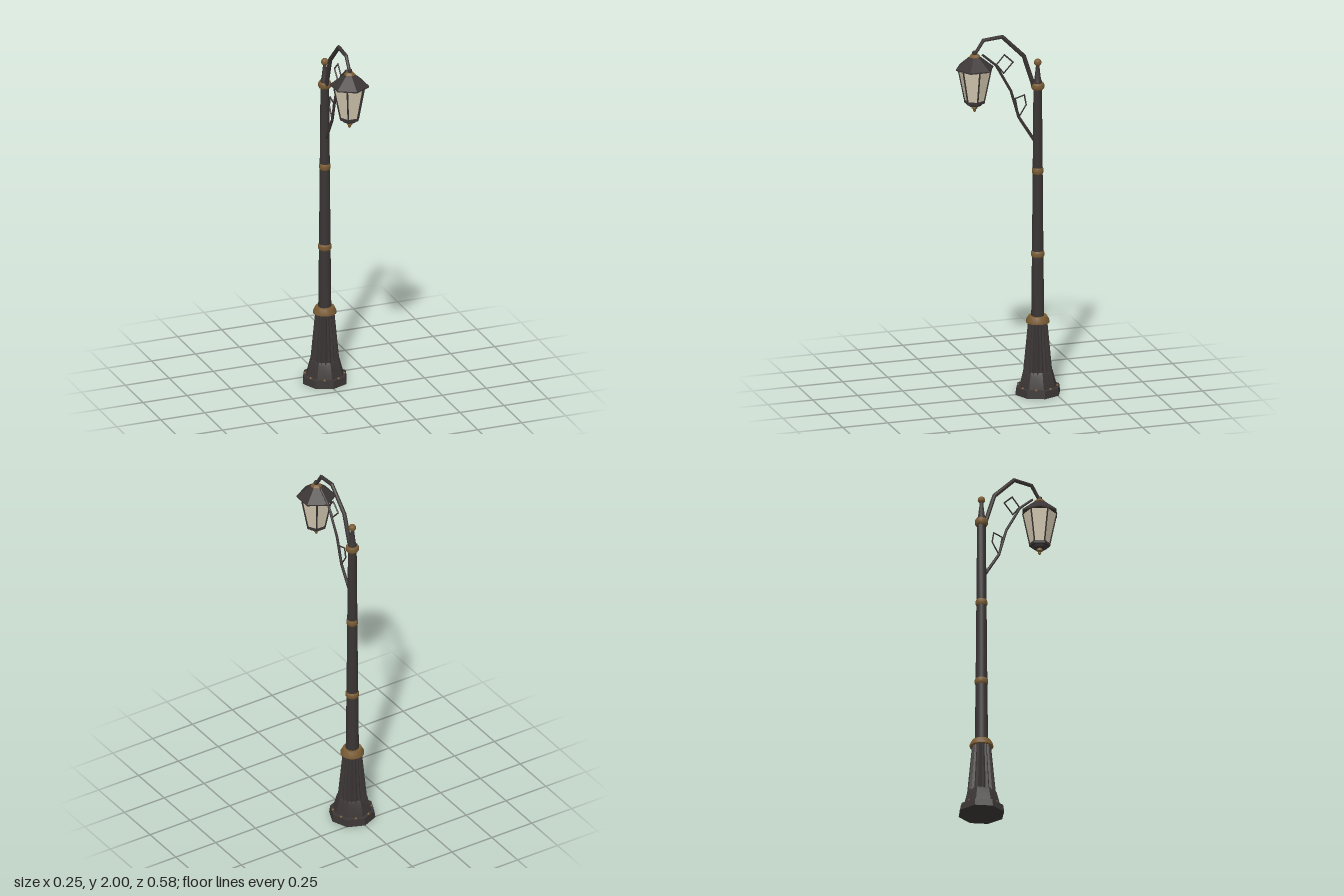
import * as THREE from 'three';
import { toCreasedNormals } from 'three/addons/utils/BufferGeometryUtils.js';

const POST_Z = -0.167, LAMP_Z = 0.184;

export function createModel() {
  const iron = new THREE.MeshStandardMaterial({ color: 0x3b3535 });
  iron.name = 'dark iron';
  const brass = new THREE.MeshStandardMaterial({ color: 0x7a5c34 });
  brass.name = 'aged brass';
  const glass = new THREE.MeshStandardMaterial({ color: 0xd6ccb4 });
  glass.name = 'cream glass';

  const model = new THREE.Group();
  model.name = 'streetLamp';
  const post = new THREE.Group();
  post.name = 'post';
  post.position.z = POST_Z;
  const lantern = new THREE.Group();
  lantern.name = 'lantern';
  lantern.position.z = LAMP_Z;
  const bracket = new THREE.Group();
  bracket.name = 'bracket';
  model.add(post, lantern, bracket);

  const add = (parent, name, geo, mat) => {
    const mesh = new THREE.Mesh(toCreasedNormals(geo, 0.6), mat);
    mesh.name = name;
    parent.add(mesh);
    return mesh;
  };

  // Turned part from [radius, height] pairs, bottom to top
  const turned = (parent, name, profile, sides, mat, turn = 0) =>
    add(parent, name, new THREE.LatheGeometry(
      profile.map(([r, y]) => new THREE.Vector2(r, y)), sides).rotateY(turn), mat);

  // Tapered rod following [z, y] points in the side plane, with mitred corners
  const rod = (name, path, r0, r1, sides = 8) => {
    const pts = path.map(([z, y]) => new THREE.Vector3(0, y, z));
    const n = pts.length - 1;
    const geo = new THREE.CylinderGeometry(1, 1, 1, sides, n);
    const p = geo.attributes.position;
    const dir = i => pts[i + 1].clone().sub(pts[i]).normalize();
    for (let k = 0; k < p.count; k++) {
      const i = Math.round((p.getY(k) + 0.5) * n);
      const a = dir(Math.max(i - 1, 0)), b = dir(Math.min(i, n - 1));
      const t = a.clone().add(b).normalize();
      const r = THREE.MathUtils.lerp(r0, r1, i / n);
      const s = p.getZ(k) * r / Math.max(t.dot(a), 0.5);
      p.setXYZ(k, p.getX(k) * r, pts[i].y - t.z * s, pts[i].z + t.y * s);
    }
    return add(bracket, name, geo, iron);
  };

  // Straight bar between two points
  const bar = (parent, name, a, b, r, mat) => {
    const d = b.clone().sub(a);
    const mesh = add(parent, name, new THREE.CylinderGeometry(r, r, d.length(), 6), mat);
    mesh.position.copy(a).addScaledVector(d, 0.5);
    mesh.quaternion.setFromUnitVectors(new THREE.Vector3(0, 1, 0), d.normalize());
  };

  // Octagonal foot with brass studs on its ledge
  turned(post, 'foot', [[0, 0], [0.125, 0], [0.119, 0.04], [0.103, 0.043],
    [0.084, 0.115], [0.076, 0.13], [0, 0.13]], 8, iron);
  for (let i = 0; i < 8; i++) {
    const a = (i + 0.5) * Math.PI / 4;
    add(post, 'stud', new THREE.SphereGeometry(0.007, 8, 6), brass)
      .position.set(0.104 * Math.sin(a), 0.042, 0.104 * Math.cos(a));
  }

  // Fluted pedestal: every other edge is drawn inwards
  const flutes = 20;
  const fluted = new THREE.CylinderGeometry(0.051, 0.077, 0.275, flutes * 2, 1);
  const fp = fluted.attributes.position;
  for (let k = 0; k < fp.count; k++) {
    const edge = Math.round(Math.atan2(fp.getX(k), fp.getZ(k)) / Math.PI * flutes);
    const s = edge % 2 ? 0.88 : 1;
    fp.setXYZ(k, fp.getX(k) * s, fp.getY(k), fp.getZ(k) * s);
  }
  add(post, 'flutedPedestal', fluted, iron).position.y = 0.255;

  // Collar, shaft and rings
  turned(post, 'collar', [[0, 0.392], [0.063, 0.392], [0.063, 0.402], [0.05, 0.428],
    [0, 0.428]], 16, brass);
  turned(post, 'shaft', [[0.035, 0.42], [0.031, 0.78], [0.027, 1.24], [0.023, 1.7]], 12, iron);
  for (const [y, r] of [[0.77, 0.036], [1.23, 0.031], [1.698, 0.035]]) {
    turned(post, 'ring', [[0, y - 0.017], [r * 0.88, y - 0.017], [r, y - 0.009], [r, y + 0.009],
      [r * 0.88, y + 0.017], [0, y + 0.017]], 16, brass);
  }
  turned(post, 'finialStem', [[0.024, 1.71], [0.024, 1.722], [0.018, 1.735], [0.009, 1.812],
    [0, 1.812]], 12, iron);
  add(post, 'finialBall', new THREE.SphereGeometry(0.02, 14, 10), brass).position.y = 1.828;

  // Curved arm, brace and open scrolls
  rod('arm', [[-0.148, 1.69], [-0.09, 1.87], [0.03, 1.989], [0.135, 1.98], [0.184, 1.905]],
    0.0125, 0.009);
  rod('brace', [[-0.15, 1.395], [-0.062, 1.535], [-0.018, 1.685], [0.065, 1.835], [0.14, 1.9]],
    0.0085, 0.006);
  rod('upperScroll', [[0.062, 1.838], [0.018, 1.888], [-0.03, 1.843], [0.022, 1.787],
    [0.062, 1.838]], 0.004, 0.004, 6);
  rod('lowerScroll', [[-0.062, 1.535], [-0.042, 1.64], [-0.093, 1.655], [-0.103, 1.6],
    [-0.062, 1.535]], 0.004, 0.004, 6);

  // Lantern roof and crown
  turned(lantern, 'roof', [[0, 1.826], [0.104, 1.826], [0.104, 1.833], [0.03, 1.894],
    [0, 1.894]], 6, iron);
  turned(lantern, 'crown', [[0, 1.888], [0.031, 1.888], [0.031, 1.896], [0.02, 1.908],
    [0, 1.908]], 6, brass);
  turned(lantern, 'hanger', [[0.013, 1.9], [0.013, 1.922], [0, 1.93]], 8, iron);

  // Glass body with corner bars
  const turn = Math.PI / 6;
  turned(lantern, 'glass', [[0, 1.65], [0.051, 1.65], [0.088, 1.828], [0, 1.828]], 6, glass, turn);
  for (let i = 0; i < 6; i++) {
    const a = turn + i * Math.PI / 3;
    const at = (r, y) => new THREE.Vector3(r * Math.sin(a), y, r * Math.cos(a));
    bar(lantern, 'cornerBar', at(0.052, 1.648), at(0.089, 1.828), 0.0045, iron);
  }

  // Lantern base and drop
  turned(lantern, 'lanternBase', [[0, 1.625], [0.036, 1.625], [0.042, 1.637], [0.056, 1.639],
    [0.056, 1.654], [0, 1.654]], 6, iron, turn);
  turned(lantern, 'drop', [[0, 1.588], [0.008, 1.594], [0.008, 1.603], [0.016, 1.611],
    [0.016, 1.619], [0.01, 1.628]], 10, brass);

  return model;
}
